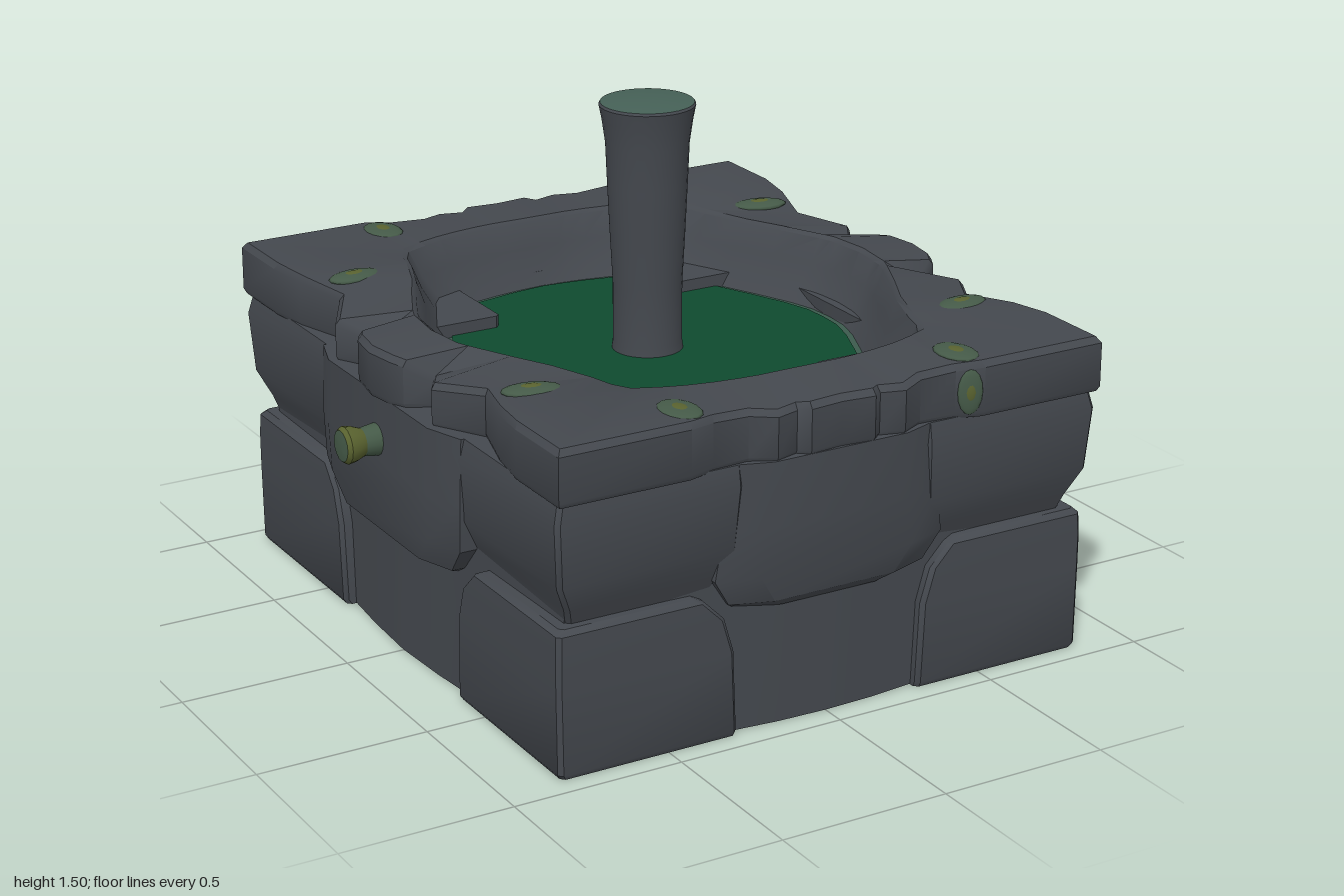
import * as THREE from 'three';
import { toCreasedNormals } from 'three/addons/utils/BufferGeometryUtils.js';

const mat = (name, color) => {
  const m = new THREE.MeshStandardMaterial({ color });
  m.name = name;
  return m;
};

// Skins a list of equal-length rings; caps are fans around each end's centre
function loft(rings, capStart, capEnd, crease = 0.6) {
  const pos = [];
  const tri = (a, b, c) => pos.push(...a, ...b, ...c);
  const n = rings[0].length;
  for (let i = 0; i + 1 < rings.length; i++) {
    for (let j = 0; j < n; j++) {
      const k = (j + 1) % n;
      const a = rings[i][j], b = rings[i][k], c = rings[i + 1][j], d = rings[i + 1][k];
      tri(a, c, b);
      tri(b, c, d);
    }
  }
  const cap = (ring, up) => {
    const mid = [0, 1, 2].map(k => ring.reduce((s, p) => s + p[k], 0) / n);
    ring.forEach((p, j) => {
      const q = ring[(j + 1) % n];
      if (up) tri(mid, q, p); else tri(mid, p, q);
    });
  };
  if (capStart) cap(rings[0], false);
  if (capEnd) cap(rings[rings.length - 1], true);
  const g = new THREE.BufferGeometry();
  g.setAttribute('position', new THREE.Float32BufferAttribute(pos, 3));
  return toCreasedNormals(g, crease);
}

// Mirrors a quarter outline (from +x axis to +z axis) into a closed ring
function fullRing(quarter) {
  const flip = (list, sx, sz) => list.map(([x, y, z]) => [x * sx, y, z * sz]);
  const back = [...quarter].reverse();
  return [
    ...quarter.slice(0, -1), ...flip(back, -1, 1).slice(0, -1),
    ...flip(quarter, -1, -1).slice(0, -1), ...flip(back, 1, -1).slice(0, -1),
  ];
}

// Stone block from levels [y, x0, x1, z0, z1] with cut vertical edges
function block(levels, bx, bz) {
  return loft(levels.map(([y, xa, xb, za, zb]) => {
    const x0 = Math.min(xa, xb), x1 = Math.max(xa, xb);
    const z0 = Math.min(za, zb), z1 = Math.max(za, zb);
    return [
      [x1, y, z0 + bz], [x1, y, z1 - bz], [x1 - bx, y, z1], [x0 + bx, y, z1],
      [x0, y, z1 - bz], [x0, y, z0 + bz], [x0 + bx, y, z0], [x1 - bx, y, z0],
    ];
  }), true, true);
}

// Rim rows: outer x, outer z, outer height, lip x, lip z, water x, water z
const RIM = [
  [.905, 0, .93, .70, 0, .60, 0],
  [.89, .10, .93, .69, .09, .595, .08],
  [.87, .14, .925, .685, .13, .585, .12],
  [.80, .18, .88, .67, .17, .57, .17],
  [.865, .30, .91, .61, .30, .52, .29],
  [.78, .45, .925, .55, .42, .46, .42],
  [.83, .62, .94, .50, .55, .40, .53],
  [.85, .75, .945, .48, .62, .37, .58],
  [.85, .98, .945, .45, .67, .34, .615],
  [.46, .98, .945, .38, .70, .28, .635],
  [.38, .955, .94, .32, .72, .25, .645],
  [.27, .95, .935, .25, .735, .20, .655],
  [.20, .985, .93, .18, .745, .15, .665],
  [.13, .965, .93, .12, .75, .10, .672],
  [.10, .99, .935, .09, .75, .07, .675],
  [0, .98, .935, 0, .75, 0, .68],
];

export function createModel() {
  const root = new THREE.Group();
  root.name = 'stoneFountain';
  const stone = mat('dark stone', 0x44484e);
  const water = mat('deep green water', 0x0f4a2e);
  const shore = mat('water edge', 0x3c5a4d);
  const moss = mat('moss', 0x455a48);
  const olive = mat('olive moss', 0x59622f);
  const capMat = mat('damp green stone', 0x456056);

  const add = (name, geometry, material, parent = root) => {
    const m = new THREE.Mesh(geometry, material);
    m.name = name;
    parent.add(m);
    return m;
  };

  // Core wall, gently bowed along every side
  const coreRing = (y, g) => fullRing([
    [.825, 0], [.815, .2], [.80, .36], [.79, .89], [.3, .91], [.15, .925], [0, .93],
  ].map(([x, z]) => [x * g, y, z * g]));
  add('coreWall', loft([coreRing(0.002, 1), coreRing(.4, 1), coreRing(.74, 1)], true, true), stone);

  // Corner stones, two tiers
  for (const sx of [-1, 1]) for (const sz of [-1, 1]) {
    const corner = levels => block(levels.map(([y, x0, x1, z0, z1]) =>
      [y, x0 * sx, x1 * sx, z0 * sz, z1 * sz]), .012, .012);
    add('lowerCornerStone', corner([
      [0, .29, .825, .36, .935], [.015, .29, .835, .36, .943], [.25, .30, .838, .37, .943],
      [.35, .33, .838, .40, .943], [.41, .39, .835, .46, .94], [.425, .42, .82, .49, .925],
    ]), stone);
    add('upperCornerStone', corner([
      [.42, .36, .785, .42, .90], [.47, .33, .80, .40, .92], [.55, .30, .838, .39, .952],
      [.73, .29, .85, .40, .965], [.79, .29, .835, .40, .955],
    ]), stone);
  }

  // Bulging stones in the middle of each side
  for (const s of [-1, 1]) {
    add('middleStone', block([
      [.35, -.27, .27, s * .7, s * .93], [.38, -.31, .31, s * .7, s * .962],
      [.46, -.36, .36, s * .7, s * .975], [.6, -.34, .34, s * .7, s * .983],
      [.79, -.33, .33, s * .7, s * .985],
    ], .12, .04), stone);
    add('sideStone', block([
      [.355, s * .6, s * .84, -.31, .31], [.38, s * .6, s * .88, -.35, .35],
      [.46, s * .6, s * .89, -.42, .42], [.6, s * .6, s * .892, -.43, .43],
      [.79, s * .6, s * .885, -.43, .43],
    ], .04, .12), stone);
  }

  // Worn rim with a basin sloping down to the water
  const outer = (scale, fy) => fullRing(RIM.map(r => [r[0] * scale, fy(r[2]), r[1] * scale]));
  const inner = (t, y) => fullRing(RIM.map(r =>
    [r[3] + (r[5] - r[3]) * t, y, r[4] + (r[6] - r[4]) * t]));
  add('rim', loft([
    outer(.88, () => .785), outer(.992, () => .785), outer(1, () => .8),
    outer(1, y => y - .018), outer(.985, y => y), inner(-.15, .945), inner(0, .935),
    inner(.3, .86), inner(.7, .79), inner(1.04, .742),
  ]), stone);

  // Water and its pale edge
  const disc = (t, y) => loft([inner(t, y)], false, true);
  add('waterEdge', disc(1, .75), shore);
  add('water', disc(1.22, .755), water);

  // Flared pillar
  const lathe = (pts, seg = 32) =>
    toCreasedNormals(new THREE.LatheGeometry(pts.map(p => new THREE.Vector2(...p)), seg), 0.7);
  const pillar = new THREE.Group();
  pillar.name = 'pillar';
  pillar.position.z = -.04;
  root.add(pillar);
  add('pillarShaft', lathe([
    [.105, .74], [.1, .78], [.1, .95], [.108, 1.1], [.115, 1.25], [.12, 1.37],
    [.13, 1.44], [.138, 1.48], [.134, 1.487],
  ]), stone, pillar);
  add('pillarTop', lathe([[.134, 1.487], [.1, 1.492], [.05, 1.496], [0, 1.497]]), capMat, pillar);

  // Side spouts
  for (const s of [-1, 1]) {
    const spout = new THREE.Group();
    spout.name = 'spout';
    spout.position.set(0, .655, 0);
    spout.rotation.z = -s * Math.PI / 2;
    root.add(spout);
    add('spoutNeck', lathe([[.05, .86], [.045, .9], [.04, .935]], 16), moss, spout);
    add('spoutTip', lathe([[.04, .935], [.05, .96], [.054, .985], [.045, .997]], 16), olive, spout);
    add('spoutEnd', lathe([[.045, .997], [.025, 1], [0, 1]], 16), moss, spout);
  }

  // Moss patches with olive centres
  const patch = (x, y, z, rx, ry, rz, yaw = 0) => {
    const p = new THREE.Group();
    p.name = 'mossPatch';
    p.position.set(x, y, z);
    p.rotation.y = yaw;
    root.add(p);
    const blob = new THREE.SphereGeometry(1, 14, 8);
    add('mossEdge', blob, moss, p).scale.set(rx, ry, rz);
    const thin = Math.min(rx, ry, rz);
    const grow = r => (r === thin ? r * 1.15 : r * .6);
    add('mossCentre', blob, olive, p).scale.set(grow(rx), grow(ry), grow(rz));
  };
  for (const sx of [-1, 1]) for (const sz of [-1, 1]) {
    patch(sx * .435, .943, sz * .875, .055, .011, .08);
    patch(sx * .69, .938, sz * .54, .085, .014, .05, sx * sz * .2);
  }
  patch(.42, .86, .968, .036, .065, .01, -.3);

  return root;
}
